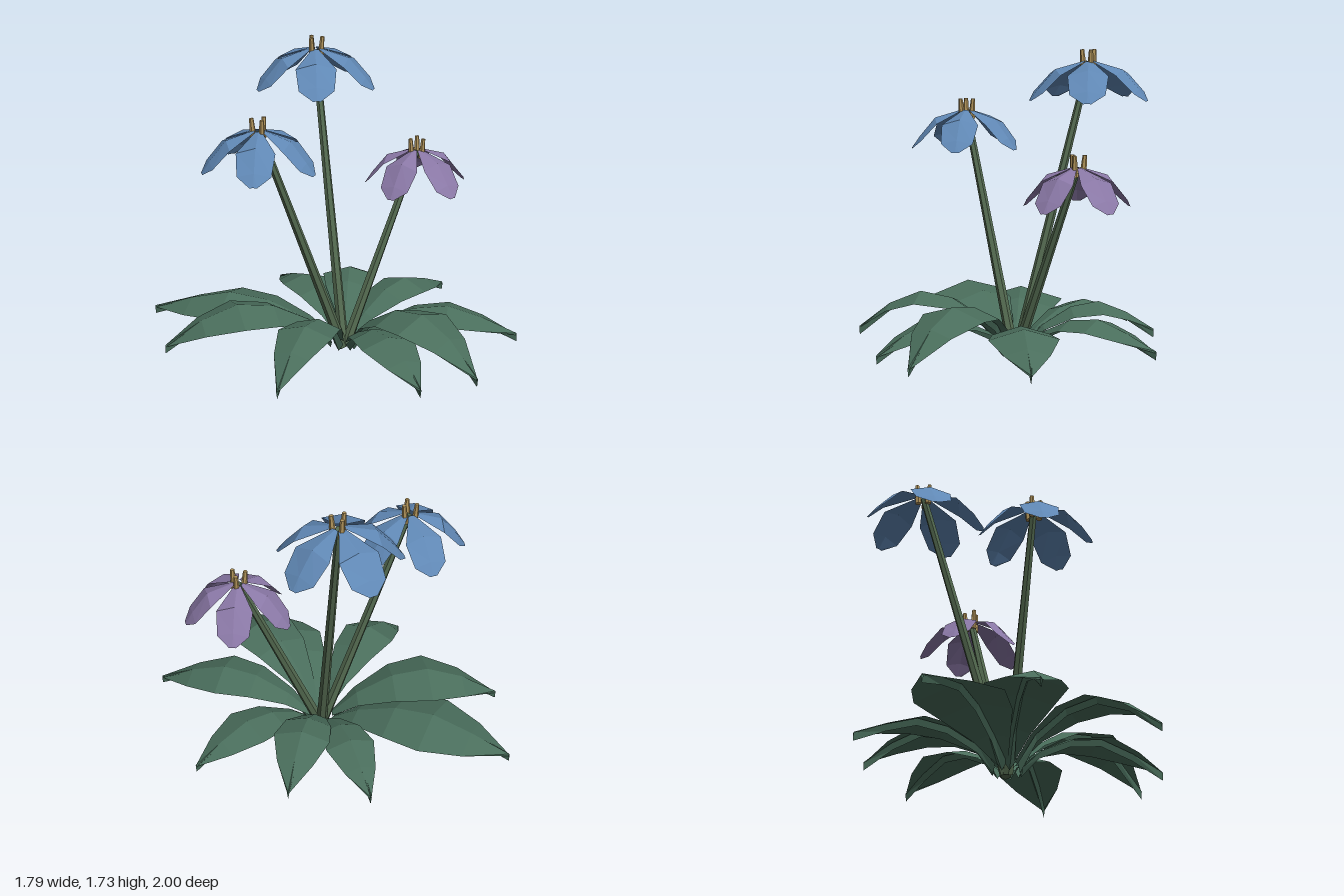
import * as THREE from 'three';

const mat = (color) => new THREE.MeshStandardMaterial({ color, flatShading: true, side: THREE.DoubleSide });
const leafMat = mat(0x4a6e5c), stemMat = mat(0x53694f), blueMat = mat(0x6088b5),
  purpleMat = mat(0x8a78a6), goldMat = mat(0xb0935a);

// Folded blade along +x: each row is [distance, centre height, half width, edge drop]
function blade(rows) {
  const pos = [], index = [];
  rows.forEach(([r, y, w, drop], i) => {
    pos.push(r, y - drop, -w, r, y, 0, r, y - drop, w);
    if (i === 0) return;
    for (let j = 0; j < 2; j++) {
      const c = i * 3 + j, a = c - 3;
      index.push(a, a + 1, c, a + 1, c + 1, c);
    }
  });
  const geo = new THREE.BufferGeometry();
  geo.setAttribute('position', new THREE.Float32BufferAttribute(pos, 3));
  geo.setIndex(index);
  geo.computeVertexNormals();
  return geo;
}

function add(parent, name, geo, material) {
  const mesh = new THREE.Mesh(geo, material);
  mesh.name = name;
  parent.add(mesh);
  return mesh;
}

// Straight tapered rod between two points
function rod(parent, name, from, to, r0, r1, material) {
  const dir = to.clone().sub(from);
  const mesh = add(parent, name, new THREE.CylinderGeometry(r1, r0, dir.length(), 6), material);
  mesh.position.copy(from).add(to).multiplyScalar(0.5);
  mesh.quaternion.setFromUnitVectors(new THREE.Vector3(0, 1, 0), dir.normalize());
}

// Arched leaf with a keel-shaped rib beneath, reaching its tip at (x, z)
function makeLeaf(x, z, height, width) {
  const leaf = new THREE.Group();
  leaf.name = 'leaf';
  const L = Math.hypot(x, z);
  const ridge = [[0.06, 0.18, 0.12], [0.2, 0.58, 0.42], [0.4, 0.91, 0.82], [0.6, 1, 1], [0.8, 0.78, 0.64]]
    .map(([t, h, w]) => [t * L, h * height, w * width]);
  add(leaf, 'leafBlade', blade([
    ...ridge.map(([r, y, w]) => [r, y, w, w * 0.3]),
    [L, 0.13, 0.004, 0.01],
  ]), leafMat);
  add(leaf, 'leafRib', blade([
    [0.08, 0, 0.028, -0.045],
    ...ridge.slice(1).map(([r, y]) => [r, y - 0.045, 0.016, -0.036]),
    [L, 0.08, 0.006, -0.045],
  ]), leafMat);
  leaf.rotation.y = -Math.atan2(z, x);
  return leaf;
}

// Five drooping petals and three stamens around the stem top
function makeFlower(x, y, z, size, petalDeg, stamenDeg, material) {
  const flower = new THREE.Group();
  flower.name = 'flower';
  rod(flower, 'stem', new THREE.Vector3(x * 0.02, 0, z * 0.02),
    new THREE.Vector3(x, y - 0.01, z), 0.031, 0.02, stemMat);

  const head = new THREE.Group();
  head.name = 'flowerHead';
  head.position.set(x, y, z);
  const petalGeo = blade([
    [0.03, 0, 0.02, 0.004],
    [0.2, -0.045, 0.115, 0.03],
    [0.3, -0.155, 0.1, 0.02],
    [0.348, -0.22, 0.022, 0.002],
  ].map(([r, h, w, drop]) => [r * size, h, w * size, drop]));
  for (let i = 0; i < 5; i++) {
    const petal = add(head, 'petal', petalGeo, material);
    petal.rotation.y = -THREE.MathUtils.degToRad(petalDeg + i * 72);
  }
  for (let i = 0; i < 3; i++) {
    const a = THREE.MathUtils.degToRad(stamenDeg + i * 120);
    const c = Math.cos(a), s = Math.sin(a);
    rod(head, 'stamen', new THREE.Vector3(c * 0.032, -0.05, s * 0.032),
      new THREE.Vector3(c * 0.042, 0.065, s * 0.042), 0.019, 0.012, goldMat);
  }
  flower.add(head);
  return flower;
}

export function createModel() {
  const plant = new THREE.Group();
  plant.name = 'floweringPlant';

  // Rosette: tip x, tip z, arch height, half width
  const leaves = [
    [-0.58, -1.0, 0.265, 0.25], [-0.9, -0.52, 0.33, 0.22], [-0.85, 0.34, 0.35, 0.16],
    [-0.31, 0.87, 0.28, 0.16], [0, 1.0, 0.38, 0.2], [0.61, 0.78, 0.28, 0.19],
    [0.89, -0.03, 0.265, 0.16], [0.61, -0.52, 0.3, 0.16], [0.27, -0.82, 0.26, 0.14],
  ];
  leaves.forEach((l) => plant.add(makeLeaf(...l)));

  // Flowers on leaning stems
  plant.add(makeFlower(-0.46, 1.365, -0.19, 0.92, -5, 111, blueMat));
  plant.add(makeFlower(0.215, 1.655, -0.445, 1, -11, 45, blueMat));
  plant.add(makeFlower(0.475, 1.115, 0.115, 0.86, 23, 79, purpleMat));
  return plant;
}
